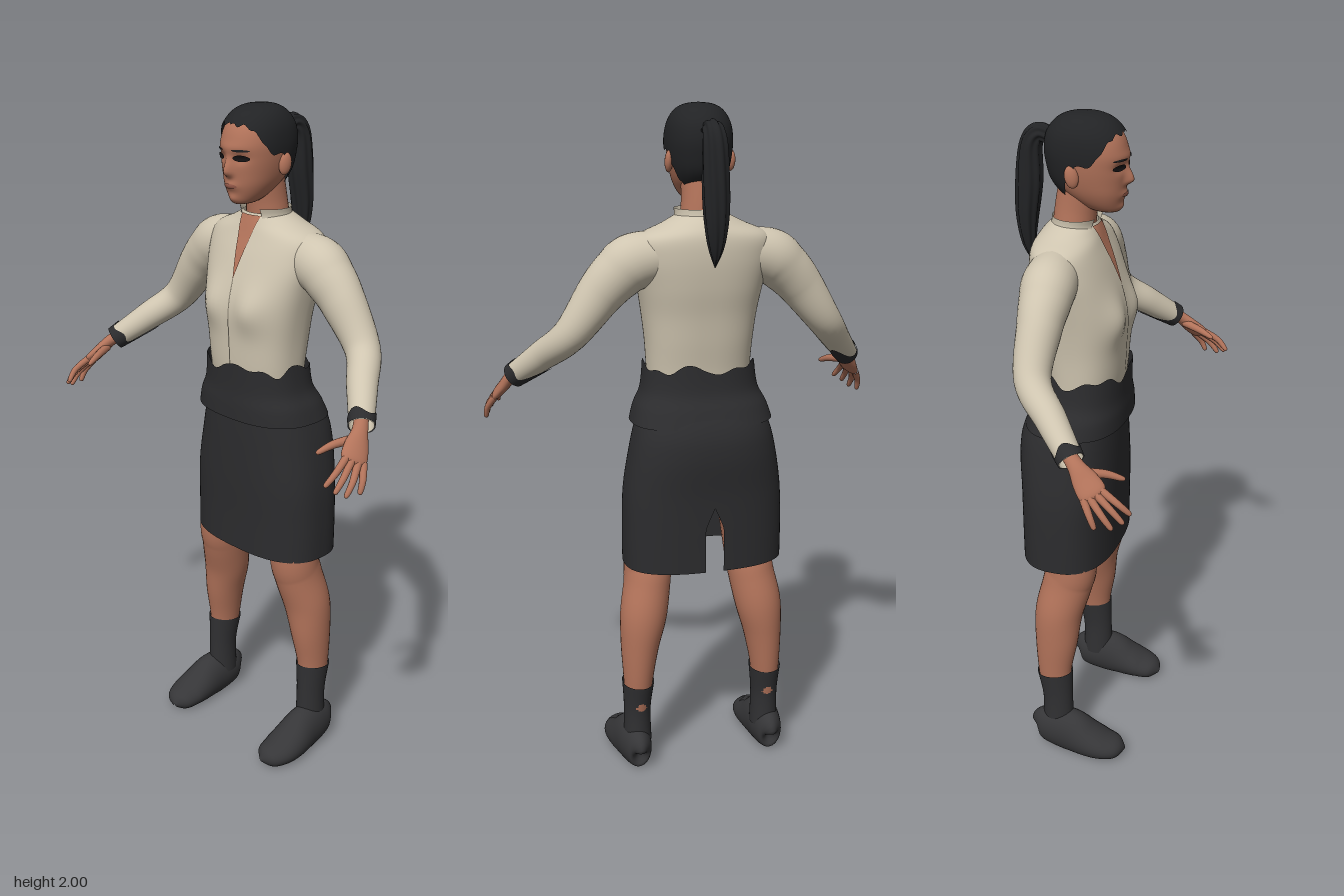
import * as THREE from 'three';
import { mergeVertices } from 'three/addons/utils/BufferGeometryUtils.js';

const mat = (name, color, side = THREE.FrontSide) => {
  const m = new THREE.MeshStandardMaterial({ color, side });
  m.name = name;
  return m;
};
const V = (x, y, z) => new THREE.Vector3(x, y, z);
const TAU = Math.PI * 2;
const bump = (d, r) => Math.exp(-(d * d) / (r * r));

// Smooth interpolation between cross-section rows; t runs over row indices.
function blend(rows, t) {
  const n = rows.length - 1;
  const i = Math.min(Math.floor(t), n - 1), k = t - i;
  const [a, b, c, d] = [rows[Math.max(i - 1, 0)], rows[i], rows[i + 1], rows[Math.min(i + 2, n)]];
  return b.map((v, j) => {
    const m0 = (c[j] - a[j]) / 2, m1 = (d[j] - v) / 2, e = c[j] - v;
    return v + k * (m0 + k * (3 * e - 2 * m0 - m1 + k * (m0 + m1 - 2 * e)));
  });
}

// Grid surface from fn(u, v), with u running around and v running along.
function grid(nu, nv, fn) {
  const pos = [], idx = [];
  for (let j = 0; j <= nv; j++)
    for (let i = 0; i <= nu; i++) pos.push(...fn(i / nu, j / nv).toArray());
  for (let j = 0; j < nv; j++)
    for (let i = 0; i < nu; i++) {
      const a = j * (nu + 1) + i, b = a + nu + 1;
      idx.push(a, a + 1, b + 1, a, b + 1, b);
    }
  let g = new THREE.BufferGeometry();
  g.setAttribute('position', new THREE.Float32BufferAttribute(pos, 3));
  g.setIndex(idx);
  g = mergeVertices(g, 1e-5);
  g.computeVertexNormals();
  return g;
}

// Upright surface from rows [y, halfWidth, zFront, zBack, squareness].
function body(rows, sculpt = () => 0) {
  const f = (a, t, o = 0) => {
    const [y, w, zf, zb, p] = blend(rows, t);
    const s = Math.sin(a), c = Math.cos(a);
    const sq = v => Math.sign(v) * Math.pow(Math.abs(v), 2 / p);
    const x = w * sq(s);
    return V(x + o * s, y, (zf + zb) / 2 + (zf - zb) / 2 * sq(c) + o * c + sculpt(x, y) * Math.max(c, 0));
  };
  f.end = rows.length - 1;
  f.tOf = y => {
    let lo = 0, hi = f.end;
    for (let i = 0; i < 30; i++) {
      const m = (lo + hi) / 2;
      if ((blend(rows, m)[0] - y) * (rows[f.end][0] - rows[0][0]) < 0) lo = m; else hi = m;
    }
    return lo;
  };
  f.front = (x, y, o) => {
    const t = f.tOf(y), r = blend(rows, t), k = Math.min(1, Math.abs(x / r[1]));
    return f(Math.sign(x) * Math.asin(Math.pow(k, r[4] / 2)), t, o);
  };
  return f;
}

// Limb surface from rows [x, y, z, radiusAcross, radiusAlongRef], mirrored by s.
function limb(rows, ref, s = 1) {
  const R = rows.map(([x, ...r]) => [x * s, ...r]), n = R.length - 1;
  const r0 = V(ref[0] * s, ref[1], ref[2]);
  const f = (a, t, o = 0) => {
    const q = blend(R, t);
    const T = V(...blend(R, Math.min(t + 0.05, n))).sub(V(...blend(R, Math.max(t - 0.05, 0)))).normalize();
    const N = r0.clone().addScaledVector(T, -r0.dot(T)).normalize();
    const S = T.clone().cross(N);
    return V(q[0], q[1], q[2]).addScaledVector(S, (q[3] + o) * Math.sin(a)).addScaledVector(N, (q[4] + o) * Math.cos(a));
  };
  f.end = n;
  return f;
}
const wrap = (f, nu, nv) => grid(nu, nv, (u, v) => f(u * TAU, v * f.end));

export function createModel() {
  const model = new THREE.Group();
  const D = THREE.DoubleSide;
  const skin = mat('skin', 0xb2735a), lip = mat('lips', 0x965a4a, D), dark = mat('eye dark', 0x161314, D);
  const cream = mat('blouse cream', 0xcfc5b0, D), seamTone = mat('seam', 0x8c8474, D);
  const cloth = mat('suit charcoal', 0x2c2c2e, D), hairTone = mat('hair black', 0x222325, D);
  const sockTone = mat('sock', 0x303032, D), shoeTone = mat('shoe', 0x363638);
  const add = (name, g, m) => {
    const o = new THREE.Mesh(g, m);
    o.name = name;
    model.add(o);
    return o;
  };

  // Blouse torso with bust shaping
  const torso = body([
    [1.2, .15, .055, -.15, 2.3], [1.26, .153, .063, -.153, 2.4], [1.34, .158, .067, -.163, 2.5],
    [1.42, .168, .068, -.172, 2.5], [1.5, .182, .056, -.185, 2.5], [1.58, .198, .03, -.192, 2.4],
    [1.64, .19, .005, -.188, 2.3], [1.675, .12, -.008, -.17, 2], [1.7, .07, -.018, -.145, 2],
  ], (x, y) => .022 * bump(Math.abs(x) - .08, .055) * bump(y - 1.44, .06));
  add('blouse', wrap(torso, 64, 48), cream);
  add('neckOpening', grid(8, 20, (u, v) =>
    torso.front((2 * u - 1) * .036 * v, 1.52 + .175 * v, .004)), skin);
  add('blouseSeam', grid(2, 20, (u, v) =>
    torso.front((u - .5) * .004, 1.26 + .26 * v, .003)), seamTone);

  // Collar standing around the neck, open at the front
  const collar = body([[1.655, .095, .0, -.17, 2], [1.69, .078, -.01, -.15, 2], [1.715, .078, -.005, -.145, 2]]);
  add('collar', grid(40, 8, (u, v) => collar(.5 + .12 * (1 - v) + u * (TAU - 1 - .24 * (1 - v)), v * 2)), cream);

  // Jacket waist with uneven top edge, then skirt with a rear slit
  const peplum = body([
    [1.105, .207, .075, -.215, 2.5], [1.15, .193, .074, -.195, 2.5],
    [1.2, .17, .071, -.172, 2.4], [1.285, .16, .073, -.163, 2.4],
  ]);
  add('jacketWaist', grid(96, 16, (u, v) => {
    const a = u * TAU, top = 2.72 + .12 * Math.sin(a * 5) + .1 * Math.sin(a * 9 + 1);
    return peplum(a, v * top, .003);
  }), cloth);
  const skirt = body([
    [.672, .24, .058, -.225, 2.6], [.78, .24, .058, -.226, 2.6], [.9, .235, .06, -.228, 2.6],
    [1.02, .216, .06, -.236, 2.5], [1.1, .196, .058, -.222, 2.5], [1.19, .165, .055, -.17, 2.4],
  ]);
  add('skirt', grid(72, 40, (u, v) => {
    const t = v * skirt.end, slit = .06 * THREE.MathUtils.clamp((1.7 - t) / .5, 0, 1);
    return skirt(Math.PI + slit + u * (TAU - 2 * slit), t);
  }), cloth);

  // Neck and sculpted head
  add('neck', wrap(limb([[0, 1.6, -.095, .06, .055], [0, 1.68, -.085, .063, .06],
    [0, 1.74, -.078, .057, .06], [0, 1.81, -.065, .055, .06]], [0, 0, 1]), 32, 12), skin);
  const face = (x, y) => {
    const e = Math.abs(x) - .036;
    return .023 * bump(x, .013) * bump(y - 1.823, y > 1.823 ? .032 : .012)
      - .008 * bump(e, .02) * bump(y - 1.862, .014) + .004 * bump(x, .05) * bump(y - 1.888, .014)
      + .007 * bump(x, .024) * bump(y - 1.785, .012) + .006 * bump(x, .02) * bump(y - 1.748, .012);
  };
  const head = body([
    [1.73, .002, .03, .02, 2], [1.736, .03, .045, -.03, 2], [1.755, .05, .053, -.07, 2.1],
    [1.785, .067, .06, -.11, 2.2], [1.82, .078, .064, -.14, 2.2], [1.86, .085, .067, -.152, 2.2],
    [1.9, .087, .068, -.157, 2.2], [1.94, .081, .055, -.15, 2.1], [1.97, .064, .03, -.127, 2],
    [1.986, .038, -.005, -.095, 2], [1.991, .001, -.045, -.05, 2],
  ], face);
  add('head', wrap(head, 112, 72), skin);
  for (const s of [1, -1]) {
    const oval = (w, h, x, y, o) => grid(16, 4, (u, v) =>
      head.front(s * x + w * v * Math.cos(u * TAU), y + h * v * Math.sin(u * TAU), o));
    add('eye', oval(.021, .009, .037, 1.863, .005), dark);
    add('eyebrow', oval(.022, .0035, .038, 1.884, .003), hairTone);
    const ear = add('ear', new THREE.SphereGeometry(1, 16, 12), skin);
    ear.scale.set(.012, .031, .019);
    ear.position.set(s * .089, 1.842, -.062);
    ear.rotation.set(-.2, s * -.3, 0);
  }
  add('mouth', grid(24, 4, (u, v) =>
    head.front(.024 * v * Math.cos(u * TAU), 1.785 + .007 * v * Math.sin(u * TAU), .003)), lip);

  // Hair cap following the hairline, and ponytail
  const line = [[0, 1.945], [.6, 1.943], [1.0, 1.915], [1.27, 1.876], [1.65, 1.868], [1.95, 1.82], [2.5, 1.768], [3.2, 1.76]];
  const hairline = a => {
    const i = Math.max(1, line.findIndex(p => p[0] >= a)), [p, q] = [line[i - 1], line[i]];
    return THREE.MathUtils.mapLinear(a, p[0], q[0], p[1], q[1]) + .004 * Math.sin(a * 17);
  };
  const mid = V(0, 1.87, -.045);
  add('hair', grid(96, 28, (u, v) => {
    const a = u * TAU, t0 = head.tOf(hairline(Math.min(a, TAU - a)));
    return head(a, t0 + (head.end - t0) * v).sub(mid).multiplyScalar(1.07).add(mid);
  }), hairTone);
  const tail = limb([
    [0, 1.915, -.14, .02, .02], [0, 1.933, -.18, .026, .026], [0, 1.9, -.208, .03, .033],
    [0, 1.8, -.216, .037, .036], [0, 1.7, -.224, .03, .033], [0, 1.62, -.222, .018, .02], [0, 1.565, -.213, .001, .001],
  ], [1, 0, 0]);
  add('ponytail', grid(48, 40, (u, v) =>
    tail(u * TAU, v * tail.end, .0025 * Math.cos(u * TAU * 8 + v * 5) * Math.min(1, (1 - v) * 5))), hairTone);

  for (const s of [1, -1]) {
    // Sleeve, and cuff running up the underside to a point
    const arm = limb([
      [.12, 1.59, -.095, .07, .07], [.2, 1.572, -.09, .076, .08], [.245, 1.54, -.087, .071, .075],
      [.295, 1.488, -.085, .062, .067], [.382, 1.373, -.075, .05, .05],
      [.45, 1.302, .0, .043, .043], [.522, 1.23, .08, .034, .034],
    ], [0, 1, 0], s);
    add('sleeve', wrap(arm, 32, 48), cream);
    add('cuff', grid(48, 12, (u, v) => {
      const a = u * TAU, reach = .3 + .75 * Math.pow(Math.max(0, -Math.cos(a)), 6) + .07 * Math.sin(a * 3);
      return arm(a, arm.end - reach * (1 - v), .003);
    }), cloth);

    // Hand with four fingers and a thumb
    const palmRef = [.6, .5, .14];
    add('palm', wrap(limb([
      [.505, 1.245, .062, .02, .02], [.53, 1.222, .095, .023, .018], [.546, 1.192, .125, .035, .017],
      [.562, 1.165, .153, .036, .014], [.567, 1.156, .162, .004, .003],
    ], palmRef, s), 24, 20), skin);
    const fingers = {
      indexFinger: [[.549, 1.177, .165], [.558, 1.148, .215], [.55, 1.115, .25]],
      middleFinger: [[.56, 1.168, .157], [.574, 1.135, .203], [.575, 1.1, .238]],
      ringFinger: [[.57, 1.16, .144], [.588, 1.122, .183], [.59, 1.086, .212]],
      littleFinger: [[.576, 1.155, .13], [.595, 1.12, .152], [.6, 1.085, .168]],
      thumb: [[.528, 1.205, .11], [.503, 1.197, .165], [.486, 1.18, .215]],
    };
    for (const [name, [a, b, c]] of Object.entries(fingers)) {
      const k = name === 'thumb' ? 1.2 : 1;
      const nearTip = c.map((v, i) => v * .85 + b[i] * .15);
      add(name, wrap(limb([[...a, .011 * k, .011 * k], [...b, .0095 * k, .0095 * k],
        [...nearTip, .007, .007], [...c, .0008, .0008]], palmRef, s), 12, 15), skin);
    }

    // Leg, sock and shoe
    add('leg', wrap(limb([
      [.207, .15, -.085, .036, .042], [.205, .28, -.095, .044, .052], [.197, .4, -.09, .058, .067],
      [.183, .5, -.085, .071, .074], [.165, .6, -.062, .071, .077], [.157, .68, -.05, .074, .078],
      [.125, .95, -.07, .085, .09],
    ], [0, 0, 1], s), 32, 36), skin);
    add('sock', wrap(limb([[.207, .08, -.085, .043, .05], [.207, .19, -.086, .041, .048],
      [.205, .285, -.095, .049, .057]], [0, 0, 1], s), 32, 12), sockTone);
    const shoe = limb([
      [.212, .06, -.152, .003, .005], [.212, .065, -.144, .033, .053], [.214, .065, -.1, .047, .07],
      [.217, .062, -.04, .054, .076], [.22, .045, .02, .061, .058], [.219, .034, .07, .06, .043],
      [.211, .027, .115, .043, .03], [.206, .022, .138, .003, .004],
    ], [0, 1, 0], s);
    add('shoe', grid(40, 40, (u, v) => {
      const p = shoe(u * TAU, v * shoe.end);
      p.y = Math.max(p.y, 0);
      return p;
    }), shoeTone);
  }
  return model;
}
